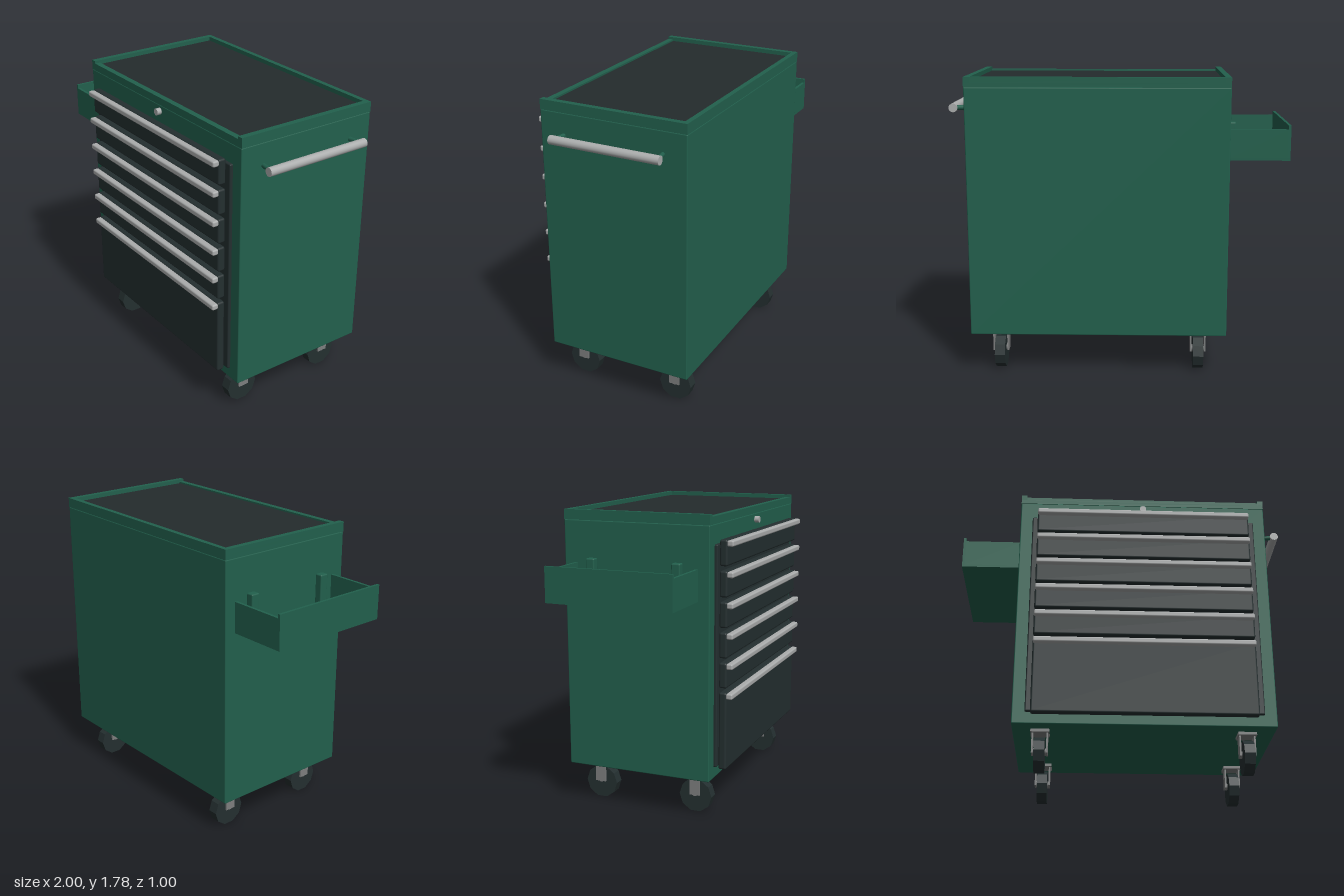
import * as THREE from 'three';
import { RoundedBoxGeometry } from 'three/addons/geometries/RoundedBoxGeometry.js';

function material(name, color) {
  const m = new THREE.MeshStandardMaterial({ color });
  m.name = name;
  return m;
}

export function createModel() {
  const green = material('green paint', 0x22604d);
  const dark = material('dark drawer', 0x242f30);
  const matBlack = material('top mat', 0x242b2c);
  const silver = material('silver', 0xabadad);
  const steel = material('steel', 0x7d7f7f);

  const root = new THREE.Group();
  root.name = 'toolCart';

  const add = (parent, name, geometry, mat) => {
    const mesh = new THREE.Mesh(geometry, mat);
    mesh.name = name;
    parent.add(mesh);
    return mesh;
  };
  // Box given by its lower and upper limits; bevel > 0 softens the edges
  const box = (parent, name, mat, [x0, x1], [y0, y1], [z0, z1], bevel = 0) => {
    const size = [x1 - x0, y1 - y0, z1 - z0];
    const g = bevel ? new RoundedBoxGeometry(...size, 2, bevel) : new THREE.BoxGeometry(...size);
    const mesh = add(parent, name, g, mat);
    mesh.position.set((x0 + x1) / 2, (y0 + y1) / 2, (z0 + z1) / 2);
    return mesh;
  };
  const group = (name) => {
    const g = new THREE.Group();
    g.name = name;
    root.add(g);
    return g;
  };

  // Cabinet
  const X = [-0.645, 0.888], Z = [-0.5, 0.402];
  box(root, 'cabinet', green, X, [0.243, 1.724], Z, 0.006);

  // Lid: base, raised rims with a lower front lip, and the mat
  const lid = group('lid');
  box(lid, 'lidBase', green, X, [1.724, 1.75], Z);
  box(lid, 'rightRim', green, [X[0], -0.61], [1.75, 1.783], Z);
  box(lid, 'leftRim', green, [0.853, X[1]], [1.75, 1.783], Z);
  box(lid, 'backRim', green, [-0.61, 0.853], [1.75, 1.783], [Z[0], -0.47]);
  box(lid, 'frontLip', green, [-0.61, 0.853], [1.75, 1.768], [0.367, Z[1]]);
  box(lid, 'mat', matBlack, [-0.61, 0.853], [1.75, 1.758], [-0.47, 0.367]);

  // Drawers, each with a full-width pull
  const drawers = group('drawers');
  box(drawers, 'drawerBacking', dark, [-0.57, 0.815], [0.313, 1.612], [0.39, 0.42], 0.008);
  for (let i = 0; i < 6; i++) {
    const top = 1.637 - i * 0.1762;
    const bottom = i === 5 ? 0.291 : top - 0.15;
    box(drawers, 'drawer', dark, [-0.537, 0.778], [bottom, top], [0.418, 0.465], 0.012);
    box(drawers, 'drawerPull', silver, [-0.535, 0.776], [top - 0.039, top - 0.004], [0.46, 0.5], 0.01);
  }

  // Lock
  const lock = add(root, 'lock', new THREE.CylinderGeometry(0.02, 0.02, 0.03, 12), silver);
  lock.rotation.x = Math.PI / 2;
  lock.position.set(0.121, 1.687, 0.415);

  // Push handle on the left side
  const handle = group('pushHandle');
  const bar = add(handle, 'handleBar', new THREE.CylinderGeometry(0.026, 0.026, 0.676, 16), silver);
  bar.rotation.x = Math.PI / 2;
  bar.position.set(0.972, 1.594, -0.049);
  for (const s of [-1, 1]) {
    const path = new THREE.LineCurve3(
      new THREE.Vector3(0.88, 1.594, -0.05 + s * 0.305),
      new THREE.Vector3(0.96, 1.594, -0.05 + s * 0.317));
    add(handle, 'handleBracket', new THREE.TubeGeometry(path, 1, 0.014, 8), green);
  }

  // Open tray on the right side, held by two hooks
  const tray = group('sideTray');
  const T = [-0.999, -0.645];
  box(tray, 'trayFloor', green, T, [1.297, 1.312], [-0.433, 0.333]);
  box(tray, 'trayOuterWall', green, [-0.999, -0.983], [1.312, 1.503], [-0.433, 0.333]);
  box(tray, 'trayBackWall', green, [-0.983, -0.645], [1.312, 1.479], [-0.433, -0.416]);
  box(tray, 'trayFrontWall', green, [-0.983, -0.645], [1.312, 1.479], [0.316, 0.333]);
  for (const z of [-0.318, 0.215]) {
    box(tray, 'trayHook', green, [-0.688, -0.64], [1.312, 1.51], [z - 0.027, z + 0.027], 0.008);
  }

  // Casters
  for (const x of [-0.482, 0.724]) for (const z of [-0.357, 0.267]) {
    const caster = group('caster');
    caster.position.set(x, 0, z);
    box(caster, 'mountPlate', steel, [-0.055, 0.055], [0.226, 0.245], [-0.052, 0.052]);
    for (const s of [-1, 1]) {
      const fork = box(caster, 'forkPlate', steel, [-0.005, 0.005], [0.105, 0.23], [-0.033, 0.033]);
      fork.position.x = s * 0.043;
    }
    const wheel = add(caster, 'wheel',
      new THREE.CylinderGeometry(0.102, 0.102, 0.062, 10).toNonIndexed(), dark);
    wheel.geometry.computeVertexNormals();
    wheel.rotation.z = Math.PI / 2;
    wheel.position.y = 0.098;
    const axle = add(caster, 'axle', new THREE.CylinderGeometry(0.022, 0.022, 0.082, 10), steel);
    axle.rotation.z = Math.PI / 2;
    axle.position.y = 0.118;
  }

  return root;
}
